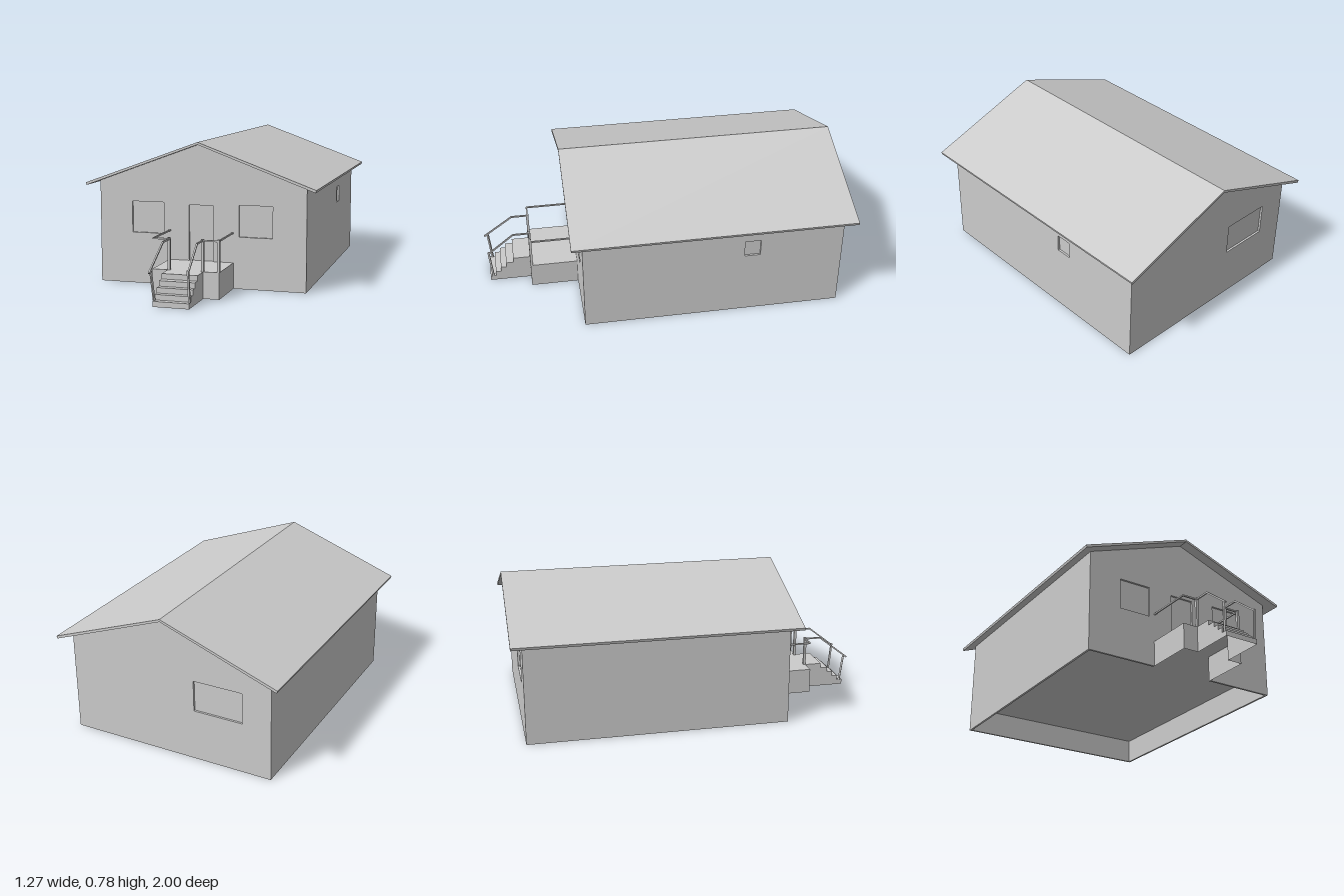
import * as THREE from 'three';

const HALF = 0.575, BACK = -0.94, FRONT = 0.48, FLOOR = 0.14, EAVE = 0.558, PEAK = 0.77, T = 0.012;

export function createModel() {
  const house = new THREE.Group();
  house.name = 'house';
  const solid = new THREE.MeshStandardMaterial({ color: 0xcccccc, flatShading: true });
  const thin = new THREE.MeshStandardMaterial({ color: 0xcccccc, flatShading: true, side: THREE.DoubleSide });

  const add = (name, geometry, material = solid, parent = house) => {
    const mesh = new THREE.Mesh(geometry, material);
    mesh.name = name;
    parent.add(mesh);
    return mesh;
  };
  const outline = (pts) => new THREE.Shape(pts.map(([x, y]) => new THREE.Vector2(x, y)));
  const rectHole = ([x0, x1, y0, y1]) =>
    new THREE.Path([[x0, y0], [x1, y0], [x1, y1], [x0, y1]].map(([x, y]) => new THREE.Vector2(x, y)));

  // Wall slab whose outer face is local z = 0; panes close the openings at its back
  const wall = (name, pts, openings, hole = openings) => {
    const group = new THREE.Group();
    group.name = name;
    const shape = outline(pts);
    hole.forEach((o) => shape.holes.push(rectHole(o)));
    const geo = new THREE.ExtrudeGeometry(shape, { depth: T, bevelEnabled: false });
    geo.translate(0, 0, -T);
    add(name + 'Panel', geo, solid, group);
    openings.forEach((o) => {
      const pane = add('pane', new THREE.PlaneGeometry(o[1] - o[0], o[3] - o[2]), thin, group);
      pane.position.set((o[0] + o[1]) / 2, (o[2] + o[3]) / 2, -T + 0.001);
    });
    house.add(group);
    return group;
  };

  // Front gable: door cut from the outline, open below the porch floor
  const windows = [[-0.39, -0.207, 0.28, 0.45], [0.21, 0.393, 0.28, 0.45]];
  const door = [-0.067, 0.07, FLOOR, 0.442];
  wall('frontWall', [
    [-HALF, 0], [-0.18, 0], [-0.18, FLOOR], [door[0], FLOOR], [door[0], door[3]],
    [door[1], door[3]], [door[1], FLOOR], [0.18, FLOOR], [0.18, 0], [HALF, 0],
    [HALF, EAVE], [0, PEAK], [-HALF, EAVE],
  ], [...windows, door], windows).position.z = FRONT;

  // Back gable with one window
  const back = wall('backWall', [[-HALF, 0], [HALF, 0], [HALF, EAVE], [0, PEAK], [-HALF, EAVE]],
    [[0.143, 0.417, 0.28, 0.45]]);
  back.rotation.y = Math.PI;
  back.position.z = BACK;

  // Side walls; the left one has a small window
  const len = (FRONT - BACK) / 2;
  for (const s of [1, -1]) {
    const side = wall(s > 0 ? 'leftWall' : 'rightWall',
      [[-len, 0], [len, 0], [len, EAVE], [-len, EAVE]], s > 0 ? [[0.165, 0.252, 0.362, 0.455]] : []);
    side.rotation.y = s * Math.PI / 2;
    side.position.set(s * HALF, 0, (FRONT + BACK) / 2);
  }

  // Raised floor
  const floor = add('floor', new THREE.PlaneGeometry(2 * HALF, 2 * len), thin);
  floor.rotation.x = -Math.PI / 2;
  floor.position.set(0, FLOOR, (FRONT + BACK) / 2);

  // Gable roof slab with overhangs
  const roof = add('roof', new THREE.ExtrudeGeometry(outline([
    [-0.631, 0.537], [0, PEAK], [0.631, 0.537], [0.635, 0.551], [0, 0.783], [-0.635, 0.551],
  ]), { depth: 1.54, bevelEnabled: false }));
  roof.position.z = -1;

  // Sheet swept across x along a [z, y] profile
  const sheet = (name, profile, half) => {
    const v = [];
    for (let i = 0; i < profile.length - 1; i++) {
      const [z0, y0] = profile[i], [z1, y1] = profile[i + 1];
      v.push(-half, y0, z0, -half, y1, z1, half, y1, z1, -half, y0, z0, half, y1, z1, half, y0, z0);
    }
    const geo = new THREE.BufferGeometry();
    geo.setAttribute('position', new THREE.Float32BufferAttribute(v, 3));
    geo.computeVertexNormals();
    add(name, geo, thin);
  };
  // Upright side sheet filling a [z, y] outline at a given x
  const cheek = (name, pts, x) => {
    const mesh = add(name, new THREE.ShapeGeometry(outline(pts.map(([z, y]) => [-z, y]))), thin);
    mesh.rotation.y = Math.PI / 2;
    mesh.position.x = x;
  };

  // Hollow porch and steps
  const PORCH = 0.745, PW = 0.18, SW = 0.095;
  const steps = [[PORCH, FLOOR]];
  const treadEnds = [0.84, 0.882, 0.914, 0.945, 0.977];
  treadEnds.forEach((z, i) => steps.push([z, FLOOR - i * 0.028], [z, FLOOR - (i + 1) * 0.028]));
  sheet('porchFloor', [[FRONT, FLOOR], [PORCH, FLOOR]], PW);
  sheet('steps', steps, SW);
  for (const s of [1, -1]) {
    cheek('porchSide', [[FRONT, 0], [PORCH, 0], [PORCH, FLOOR], [FRONT, FLOOR]], s * PW);
    cheek('stepSide', [[PORCH, 0], ...steps], s * SW);
    const front = add('porchFront', new THREE.PlaneGeometry(PW - SW, FLOOR), thin);
    front.position.set(s * (PW + SW) / 2, FLOOR / 2, PORCH);
  }

  // Square bar between two points
  const bar = (name, a, b, w) => {
    const p = new THREE.Vector3(...a), q = new THREE.Vector3(...b);
    const mesh = add(name, new THREE.BoxGeometry(w, w, p.distanceTo(q)));
    mesh.position.copy(p).add(q).multiplyScalar(0.5);
    mesh.lookAt(q);
  };

  // Handrails: along the porch, in to the steps, then down; the right one leans out
  for (const s of [1, -1]) {
    const endX = s > 0 ? 0.092 : -0.105, endZ = s > 0 ? 0.976 : 0.996, endY = s > 0 ? 0.185 : 0.172;
    const path = [[s * 0.175, 0.3, FRONT], [s * 0.175, 0.3, 0.738], [s * 0.09, 0.3, 0.738],
      [s * 0.09, 0.3, 0.83], [endX, endY, endZ]];
    for (let i = 0; i < path.length - 1; i++) bar('handrail', path[i], path[i + 1], 0.008);
    bar('railPost', [s * 0.09, FLOOR, 0.738], [s * 0.09, 0.308, 0.738], 0.014);
    bar('stepPost', [s * 0.092, 0.028, 0.96], [endX * 0.98, endY + 0.008, 0.976], 0.01);
  }
  bar('cornerPost', [0.175, FLOOR, 0.738], [0.175, 0.308, 0.738], 0.014);

  return house;
}
